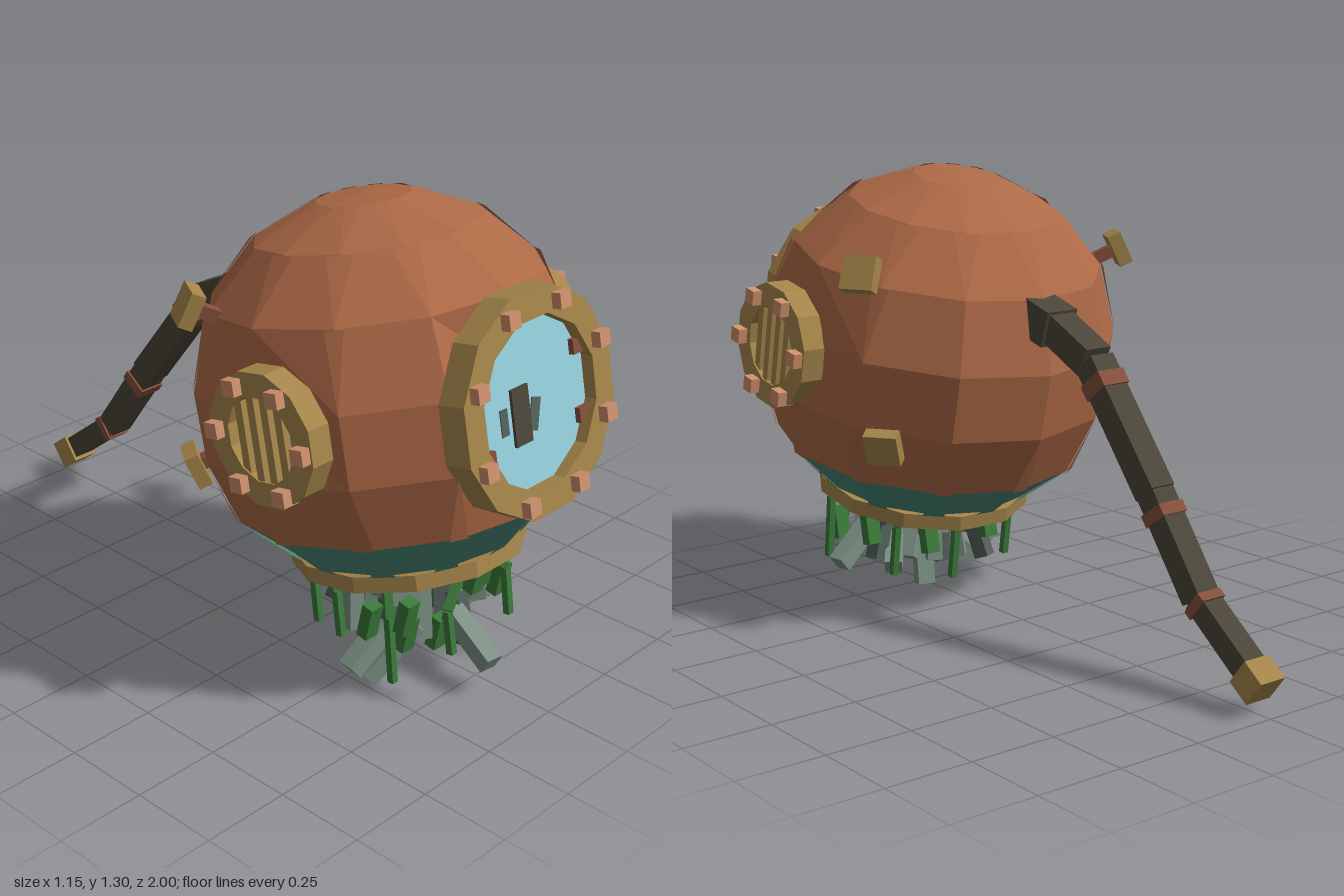
import * as THREE from 'three';

const mat = (name, color, side = THREE.FrontSide) =>
  new THREE.MeshStandardMaterial({ name, color, side, flatShading: true });
const V = (x, y, z) => new THREE.Vector3(x, y, z);

export function createModel() {
  const copper = mat('copper', 0xad6946, THREE.DoubleSide);
  const teal = mat('teal', 0x4a8977, THREE.DoubleSide);
  const brass = mat('brass', 0xa5854a);
  const rivet = mat('paleCopper', 0xcf906c);
  const glass = mat('glass', 0x95d0dc);
  const rubber = mat('rubber', 0x4b4639);
  const rust = mat('rust', 0x85503c);
  const flesh = mat('greyFlesh', 0x7b9084);
  const darkFlesh = mat('darkFlesh', 0x52605a);
  const weed = mat('weed', 0x3b7a3a);

  const model = new THREE.Group();
  const helmet = new THREE.Group();
  helmet.name = 'helmet';
  helmet.position.set(0, 0.81, 0.4);
  helmet.rotation.x = -0.2;
  model.add(helmet);

  const add = (parent, name, geometry, material) => {
    const m = new THREE.Mesh(geometry, material);
    m.name = name;
    parent.add(m);
    return m;
  };
  const box = (parent, name, material, size, pos) => {
    const m = add(parent, name, new THREE.BoxGeometry(...size), material);
    m.position.set(...pos);
    return m;
  };
  // Square bar running from a to b
  const beam = (parent, name, material, a, b, w, h = w) => {
    const m = add(parent, name, new THREE.BoxGeometry(w, h, a.distanceTo(b)), material);
    m.position.copy(a).lerp(b, 0.5);
    m.lookAt(b);
    return m;
  };

  // Faceted shell, flattened behind the front window and the side portholes
  const shell = [[0.3, -0.47], [0.455, -0.33], [0.52, -0.145], [0.525, 0.05],
    [0.455, 0.25], [0.31, 0.4], [0.13, 0.482], [0, 0.492]];
  const lathe = (profile) => new THREE.LatheGeometry(profile.map(([r, y]) => new THREE.Vector2(r, y)), 12);
  const dome = lathe(shell.slice(1));
  const p = dome.attributes.position;
  for (let i = 0; i < p.count; i++) {
    if (p.getZ(i) > 0.5) p.setZ(i, 0.43);
    if (Math.abs(p.getX(i)) > 0.522) p.setX(i, Math.sign(p.getX(i)) * 0.495);
  }
  add(helmet, 'dome', dome, copper);
  add(helmet, 'collar', lathe(shell.slice(0, 2)), teal);

  // Tapered seam plates: broad at the first ring, pointed at the second
  const seams = (name, material, from, to, half, every = 1, first = 0) => {
    const pts = [];
    for (let i = first; i < 12; i += every) {
      const turn = (x, y, z) => V(x, y, z).applyAxisAngle(V(0, 1, 0), i * Math.PI / 6);
      pts.push(turn(-half, from[1], from[0] + 0.006), turn(half, from[1], from[0] + 0.006), turn(0, to[1], to[0] + 0.003));
    }
    const g = new THREE.BufferGeometry().setFromPoints(pts);
    g.computeVertexNormals();
    add(helmet, name, g, material);
  };
  seams('collarSeams', teal, shell[0], shell[1], 0.035);
  seams('lowerSeams', copper, shell[1], shell[2], 0.025, 1, 1);
  seams('middleSeams', copper, shell[4], shell[3], 0.025, 2, 2);
  seams('shoulderSeams', copper, shell[5], shell[4], 0.035);
  seams('crownSeams', copper, shell[6], shell[5], 0.02);

  // Twelve-sided flat ring facing +z
  const ringGeometry = (outer, inner, depth) => {
    const points = (r) => Array.from({ length: 12 }, (_, i) => {
      const a = (i + 0.5) * Math.PI / 6;
      return new THREE.Vector2(r * Math.cos(a), r * Math.sin(a));
    });
    const shape = new THREE.Shape(points(outer));
    shape.holes.push(new THREE.Path(points(inner)));
    return new THREE.ExtrudeGeometry(shape, { depth, bevelEnabled: false });
  };
  const port = (name, outer, inner, depth, bolts, boltRadius, phase) => {
    const g = new THREE.Group();
    g.name = name;
    add(g, 'rim', ringGeometry(outer, inner, depth), brass);
    const pane = add(g, 'pane', new THREE.CircleGeometry(inner + 0.02, 12), glass);
    pane.position.z = depth * 0.55;
    for (let i = 0; i < bolts; i++) {
      const a = phase + i * 2 * Math.PI / bolts;
      box(g, 'bolt', rivet, [0.042, 0.042, 0.05], [boltRadius * Math.cos(a), boltRadius * Math.sin(a), depth + 0.003]);
    }
    helmet.add(g);
    return g;
  };

  // Front window with inner lugs and the dark shape showing in it
  const front = port('frontWindow', 0.3, 0.225, 0.08, 8, 0.262, Math.PI / 8);
  front.position.set(0, -0.027, 0.44);
  for (const x of [-1, 1]) for (const y of [-1, 1])
    box(front, 'innerLug', rust, [0.04, 0.04, 0.02], [x * 0.19, y * 0.092, 0.05]);
  box(front, 'eye', rubber, [0.065, 0.15, 0.02], [-0.047, -0.022, 0.042]);
  box(front, 'eyeSide', darkFlesh, [0.028, 0.07, 0.01], [-0.11, -0.022, 0.042]);
  const corner = box(front, 'eyeCorner', darkFlesh, [0.035, 0.085, 0.01], [0.008, -0.035, 0.042]);
  corner.rotation.z = -0.3;

  // Side portholes with grilles, and the rear brackets
  for (const s of [1, -1]) {
    const g = port('sidePorthole', 0.182, 0.115, 0.07, 6, 0.15, s > 0 ? 0.1 : -0.1);
    g.position.set(s * 0.475, -0.006, 0.07);
    g.rotation.y = s * Math.PI / 2;
    box(g, 'grilleShade', rust, [0.06, 0.16, 0.008], [s * 0.075, 0, 0.039]);
    for (let i = 0; i < 4; i++) {
      const x = (i - 1.5) * 0.046;
      box(g, 'grilleBar', brass, [0.025, 2 * Math.sqrt(0.0144 - x * x), 0.02], [x, 0, 0.055]);
    }
    for (const end of [V(s * 0.455, 1.05, 0.13), V(s * 0.41, 0.575, 0.1)]) {
      const centre = V(0, 0.81, 0.4);
      const at = (t) => centre.clone().lerp(end, t);
      beam(model, 'bracketPost', rust, at(0.78), at(0.99), 0.035);
      beam(model, 'bracketPlate', brass, at(0.98), at(1.05), 0.097);
    }
  }

  // Neck ring and its dark inside
  const neck = add(helmet, 'neckRing', ringGeometry(0.325, 0.25, 0.045), brass);
  neck.rotation.x = Math.PI / 2;
  neck.position.y = -0.46;
  const inside = add(helmet, 'neckInside', new THREE.CylinderGeometry(0.28, 0.28, 0.02, 12), darkFlesh);
  inside.position.y = -0.47;

  // Air hose trailing behind, with bands at the joints
  const H = (z, y) => V(0, y, z);
  beam(model, 'hoseSocket', rubber, H(-0.06, 0.925), H(-0.16, 0.895), 0.105);
  const hose = [H(-0.1, 0.925), H(-0.31, 0.825), H(-0.56, 0.51), H(-0.74, 0.265), H(-0.93, 0.12)];
  for (let i = 0; i < 4; i++) beam(model, 'hose', rubber, hose[i], hose[i + 1], 0.085 - i * 0.006);
  for (const [i, t] of [[1, 0.18], [2, 0.2], [3, 0.08]]) {
    const at = (k) => hose[i].clone().lerp(hose[i + 1], k);
    beam(model, 'hoseBand', rust, at(t - 0.055), at(t + 0.055), 0.094 - i * 0.005);
  }
  beam(model, 'hoseEnd', brass, H(-0.92, 0.125), H(-0.98, 0.08), 0.085);

  // Drooping tentacles: two rings of jointed limbs around the neck
  let seed = 7;
  const rnd = () => (seed = (seed * 16807) % 2147483647) / 2147483647;
  const tentacles = new THREE.Group();
  tentacles.name = 'tentacles';
  model.add(tentacles);
  for (let i = 0; i < 14; i++) {
    const a = i * Math.PI / 3.5 + (i > 6 ? 0.4 : 0), k = i > 6 ? 0.08 : 0.17;
    const at = (r, y) => V(Math.sin(a) * r, y, 0.5 + Math.cos(a) * r);
    const knee = at(k + rnd() * 0.02, 0.2 + rnd() * 0.06);
    beam(tentacles, 'upperLimb', i % 3 ? darkFlesh : flesh, at(k * 0.85, 0.37), knee, 0.085, 0.06);
    beam(tentacles, 'lowerLimb', i % 2 ? flesh : darkFlesh, knee, at(k + 0.01 + rnd() * 0.05, 0.08 + rnd() * 0.08), 0.045);
  }
  for (const [x, y, z, tx, ty, tz] of [
    [-0.11, 0.17, 0.62, -0.235, 0.03, 0.56], [-0.18, 0.18, 0.58, -0.3, 0.08, 0.56],
    [0.15, 0.2, 0.58, 0.27, 0.1, 0.56], [-0.03, 0.2, 0.68, -0.05, 0.11, 0.84],
    [0.1, 0.2, 0.5, 0.18, 0.11, 0.4], [0.02, 0.18, 0.48, 0.03, 0.02, 0.45]])
    beam(tentacles, 'reachingLimb', flesh, V(x, y, z), V(tx, ty, tz), 0.052);

  // Weed strands and leaves
  for (const [x, z, top, mid, low, out] of [
    [0.25, 0.56, 0.36, 0.31, 0.12, 0.03], [-0.23, 0.62, 0.34, 0.25, 0.06, -0.01],
    [0.06, 0.72, 0.37, 0.3, 0.16, 0.06], [-0.1, 0.76, 0.37, 0.3, 0.18, -0.07],
    [0.18, 0.33, 0.33, 0.25, 0.1, 0.02], [-0.17, 0.31, 0.33, 0.24, 0.1, -0.03],
    [0.0, 0.28, 0.32, 0.22, 0.07, 0.02], [-0.25, 0.45, 0.33, 0.27, 0.14, -0.01]]) {
    beam(tentacles, 'weedTop', weed, V(x, top, z), V(x + out, mid, z + 0.02), 0.024, 0.02);
    beam(tentacles, 'weedTip', weed, V(x + out, mid, z + 0.02), V(x + out, low, z + 0.04), 0.02);
  }
  for (const [x, y, z] of [[-0.24, 0.28, 0.7], [-0.02, 0.335, 0.75], [0.02, 0.335, 0.74], [0.2, 0.2, 0.66],
    [-0.19, 0.19, 0.66], [-0.01, 0.1, 0.62], [0.12, 0.22, 0.3], [-0.08, 0.24, 0.28], [-0.27, 0.24, 0.6], [0.26, 0.25, 0.4]])
    box(tentacles, 'weedLeaf', weed, [0.045, 0.1, 0.035], [x, y, z]).rotation.x = 0.2;

  return model;
}
